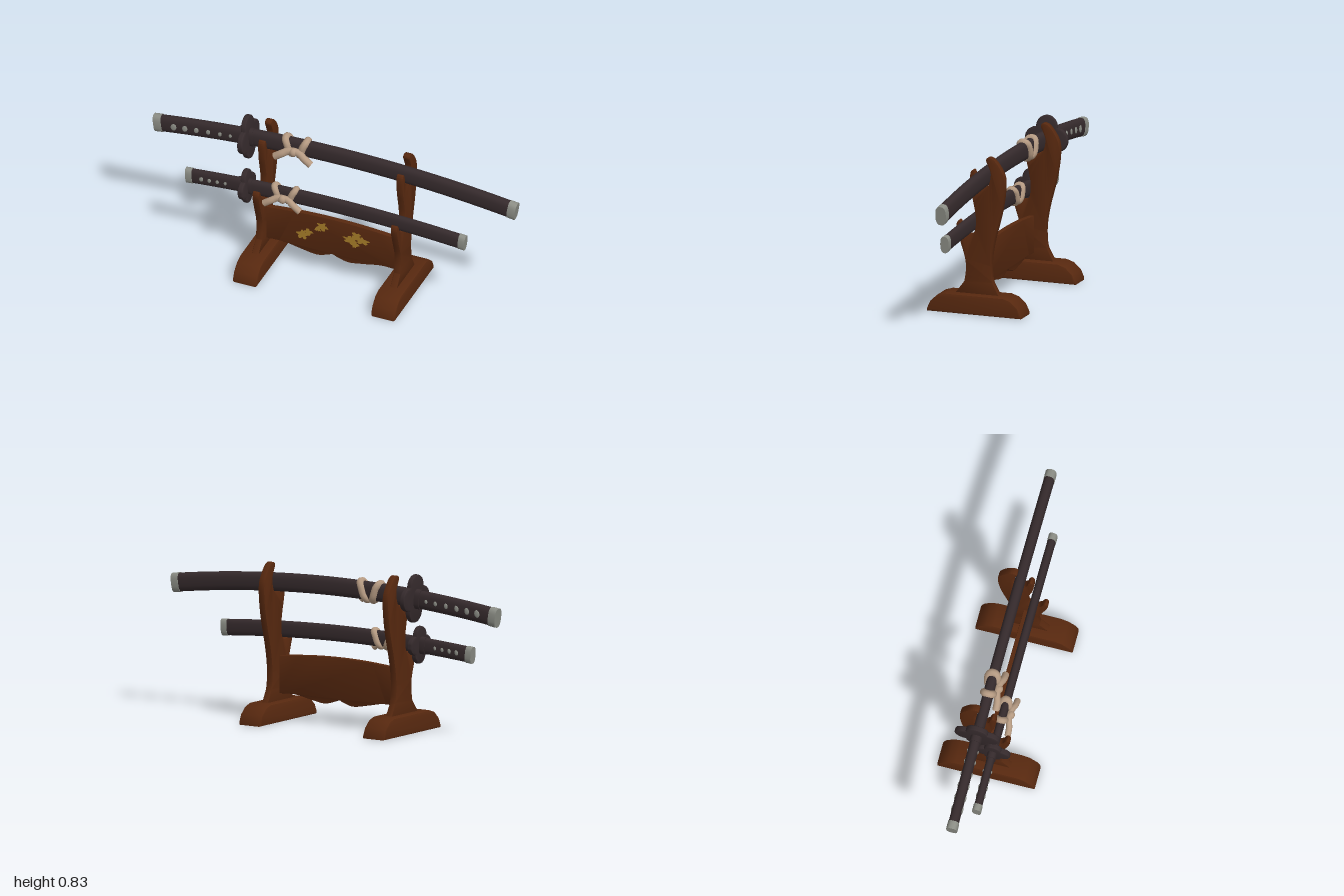
import * as THREE from 'three';
import { toCreasedNormals } from 'three/addons/utils/BufferGeometryUtils.js';

const material = (name, color) => {
  const m = new THREE.MeshStandardMaterial({ color });
  m.name = name;
  return m;
};

export function createModel() {
  const wood = material('brown wood', 0x57280f);
  const dark = material('dark lacquer', 0x352a2c);
  const silver = material('grey metal', 0x8c8e86);
  const cream = material('cream cord', 0xb59a82);
  const gold = material('gold paint', 0xa67c28);

  const model = new THREE.Group();
  model.name = 'swordStand';
  const add = (parent, name, geometry, mat, x = 0, y = 0, z = 0) => {
    const mesh = new THREE.Mesh(geometry, mat);
    mesh.name = name;
    mesh.position.set(x, y, z);
    parent.add(mesh);
    return mesh;
  };

  // Rounded-box cross-section swept along path(t), capped at both ends
  function sweep(path, hy, hz, steps, roundness = 0.75) {
    const g = new THREE.CylinderGeometry(1, 1, 1, 20, steps);
    g.rotateY(Math.PI / 2).rotateZ(-Math.PI / 2);
    const p = g.attributes.position;
    const shape = v => Math.sign(v) * Math.abs(v) ** roundness;
    for (let i = 0; i < p.count; i++) {
      const t = p.getX(i) + 0.5;
      const c = path(t), a = path(t - 0.01), b = path(t + 0.01);
      const dx = b[0] - a[0], dy = b[1] - a[1], len = Math.hypot(dx, dy);
      const v = shape(p.getY(i)) * hy;
      p.setXYZ(i, c[0] - dy / len * v, c[1] + dx / len * v, c[2] + shape(p.getZ(i)) * hz);
    }
    g.computeVertexNormals();
    return g;
  }

  // Solid cut from a (z, y) outline, centred on x = 0
  function sideCut(shape, width, bevel) {
    const g = new THREE.ExtrudeGeometry(shape, {
      depth: width - 2 * bevel, bevelThickness: bevel, bevelSize: bevel,
      bevelOffset: -bevel, bevelSegments: 2, curveSegments: 48,
    });
    g.translate(0, 0, bevel - width / 2).rotateY(Math.PI / 2);
    return toCreasedNormals(g, 0.6);
  }
  const vec = (z, y) => new THREE.Vector2(-z, y);

  // Feet and double-pronged uprights
  const half = [[0.255, 0], [0.255, 0.014], [0.238, 0.052], [0.2, 0.087], [0.16, 0.1]];
  const footShape = new THREE.Shape([
    ...half.map(([z, y]) => vec(z, y)),
    ...half.slice().reverse().map(([z, y]) => vec(-z, y)),
  ]);
  const post = new THREE.Shape();
  post.moveTo(-0.12, 0.095);
  post.lineTo(-0.07, 0.16);
  post.splineThru([[0.062, 0.22], [0.066, 0.28], [0.09, 0.36], [0.108, 0.42], [0.112, 0.455],
    [0.1, 0.476], [0.087, 0.462], [0.075, 0.43], [0.055, 0.412], [0.025, 0.412], [0.01, 0.44],
    [0.008, 0.5], [0.018, 0.56], [0.033, 0.63], [0.039, 0.7], [0.034, 0.735], [0.02, 0.743],
    [0.009, 0.72], [0.002, 0.685], [-0.018, 0.664], [-0.052, 0.664], [-0.068, 0.69],
    [-0.073, 0.735], [-0.058, 0.775], [-0.048, 0.8], [-0.06, 0.815], [-0.088, 0.807],
    [-0.12, 0.77], [-0.146, 0.715], [-0.147, 0.64], [-0.13, 0.53], [-0.092, 0.38],
    [-0.076, 0.28], [-0.077, 0.2], [-0.085, 0.16]].map(([z, y]) => vec(z, y)));
  post.lineTo(0.12, 0.095);
  for (const [side, s] of [['left', 1], ['right', -1]]) {
    add(model, side + 'Foot', sideCut(footShape, 0.132, 0.008), wood, s * 0.38);
    add(model, side + 'Upright', sideCut(post, 0.036, 0.004), wood, s * 0.38);
  }

  // Scalloped cross panel
  const panel = new THREE.Shape();
  panel.moveTo(-0.375, 0.135);
  panel.splineThru([[-0.27, 0.138], [-0.18, 0.122], [-0.09, 0.108], [-0.03, 0.122], [0, 0.133],
    [0.03, 0.122], [0.09, 0.108], [0.18, 0.122], [0.27, 0.138], [0.375, 0.135]]
    .map(([x, y]) => new THREE.Vector2(x, y)));
  panel.lineTo(0.375, 0.328);
  panel.quadraticCurveTo(0, 0.374, -0.375, 0.328);
  const panelGeo = new THREE.ExtrudeGeometry(panel, {
    depth: 0.018, bevelThickness: 0.004, bevelSize: 0.004, bevelOffset: -0.004,
    bevelSegments: 2, curveSegments: 40,
  });
  add(model, 'panel', toCreasedNormals(panelGeo.translate(0, 0, -0.009), 0.6), wood);

  // Painted blossoms on the front of the panel: x, y, width, height, petals
  const blossoms = [[-0.165, 0.212, 0.028, 0.024, 5], [-0.132, 0.237, 0.022, 0.018, 4],
    [-0.055, 0.29, 0.028, 0.022, 5], [-0.08, 0.27, 0.016, 0.013, 3], [0.1, 0.252, 0.034, 0.022, 6],
    [0.132, 0.285, 0.024, 0.02, 4], [0.165, 0.262, 0.034, 0.018, 5], [0.125, 0.228, 0.02, 0.014, 3]];
  blossoms.forEach(([x, y, w, h, n], i) => {
    const points = [];
    for (let k = 0; k < 40; k++) {
      const a = k / 40 * Math.PI * 2;
      const r = 1 + 0.25 * Math.sin(n * a + i) + 0.12 * Math.sin(9 * a + 2 * i);
      points.push(new THREE.Vector2(Math.cos(a) * r * w, Math.sin(a) * r * h));
    }
    add(model, 'paintedBlossom', new THREE.ShapeGeometry(new THREE.Shape(points)), gold, x, y,
      0.0142 + i * 0.0001);
  });

  // Four-lobed hand guard
  function guardGeometry(d, radius) {
    const points = [];
    for (let k = 0; k < 64; k++) {
      const a = k / 64 * Math.PI * 2;
      const f = a - Math.round(a / (Math.PI / 2)) * Math.PI / 2;
      const r = d * Math.cos(f) + Math.sqrt(radius ** 2 - (d * Math.sin(f)) ** 2);
      points.push(new THREE.Vector2(Math.cos(a) * r, Math.sin(a) * r * 1.07));
    }
    return sideCut(new THREE.Shape(points), 0.03, 0.008);
  }

  // Sheathed sword with end caps, handle studs, guard and tied cord
  function sword(name, o) {
    const group = new THREE.Group();
    group.name = name;
    model.add(group);
    const height = x => o.y - o.bend * x * x;
    const span = (a, b) => t => {
      const x = a + (b - a) * t;
      return [x, height(x), o.z];
    };
    const body = (part, a, b, grow, mat) => add(group, part,
      sweep(span(a, b), o.hy + grow, o.hz + grow, Math.ceil((b - a) * 24)), mat);
    const cap = o.cap;
    body('handle', o.x0 + cap, o.guard, -0.001, dark);
    body('scabbard', o.guard, o.x1 - cap, 0, dark);
    body('handleCap', o.x0, o.x0 + cap, 0.002, silver);
    body('scabbardCap', o.x1 - cap, o.x1, 0.002, silver);
    body('handleCollar', o.guard - 0.045, o.guard, 0.003, dark);
    body('scabbardCollar', o.guard, o.guard + 0.035, 0.003, dark);
    const guard = add(group, 'guard', guardGeometry(o.lobe, o.lobe * 0.97), dark,
      o.guard, height(o.guard), o.z);
    guard.rotation.z = Math.atan(-2 * o.bend * o.guard);

    // Studs along both faces of the handle
    o.studs.forEach((x, i) => {
      for (const s of [-1, 1]) {
        const stud = add(group, 'handleStud', new THREE.SphereGeometry(1, 12, 8), silver,
          x, height(x), o.z + s * o.hz);
        const k = o.stud * (1 - i * 0.09);
        stud.scale.set(k * 0.8, k, 0.004);
        stud.rotation.z = -0.25;
      }
    });

    // Two slanted cord loops and a drooping bow in front
    for (const s of [-1, 1]) {
      const ring = [];
      for (let k = 0; k < 20; k++) {
        const a = k / 20 * Math.PI * 2, c = Math.cos(a), n = Math.sin(a);
        const x = o.knot + s * (0.038 + 0.02 * n);
        ring.push(new THREE.Vector3(x,
          height(x) + Math.sign(n) * Math.abs(n) ** 0.75 * (o.hy - 0.004),
          o.z + Math.sign(c) * Math.abs(c) ** 0.75 * (o.hz - 0.003)));
      }
      add(group, 'cordLoop', new THREE.TubeGeometry(
        new THREE.CatmullRomCurve3(ring, true), 48, o.cord, 10, true), cream);
    }
    const y = height(o.knot), z = o.z + o.hz + 0.014;
    const bow = new THREE.CatmullRomCurve3([[-0.098, -0.055, 0.012], [-0.06, -0.028, 0.01],
      [-0.025, -0.01, 0], [0.025, -0.01, 0], [0.06, -0.028, 0.01], [0.098, -0.055, 0.012]]
      .map(p => new THREE.Vector3(o.knot + p[0], y + p[1], z + p[2])));
    add(group, 'cordBow', sweep(t => bow.getPoint(Math.min(1, Math.max(0, t))).toArray(),
      o.cord, o.cord * 0.9, 24, 1), cream);
    const knot = add(group, 'cordKnot', new THREE.SphereGeometry(1, 14, 10), cream,
      o.knot, y - 0.01, z + 0.004);
    knot.scale.set(0.022, 0.024, 0.02);
  }

  sword('longSword', {
    x0: -0.993, x1: 0.993, y: 0.72, bend: 0.072, z: -0.035, hy: 0.048, hz: 0.027, cap: 0.042,
    guard: -0.482, lobe: 0.059, stud: 0.02, knot: -0.215, cord: 0.02,
    studs: [-0.882, -0.82, -0.757, -0.692, -0.627, -0.57],
  });
  sword('shortSword', {
    x0: -0.788, x1: 0.745, y: 0.466, bend: 0.06, z: 0.041, hy: 0.042, hz: 0.021, cap: 0.035,
    guard: -0.458, lobe: 0.046, stud: 0.014, knot: -0.245, cord: 0.018,
    studs: [-0.7, -0.656, -0.612, -0.568],
  });
  return model;
}
